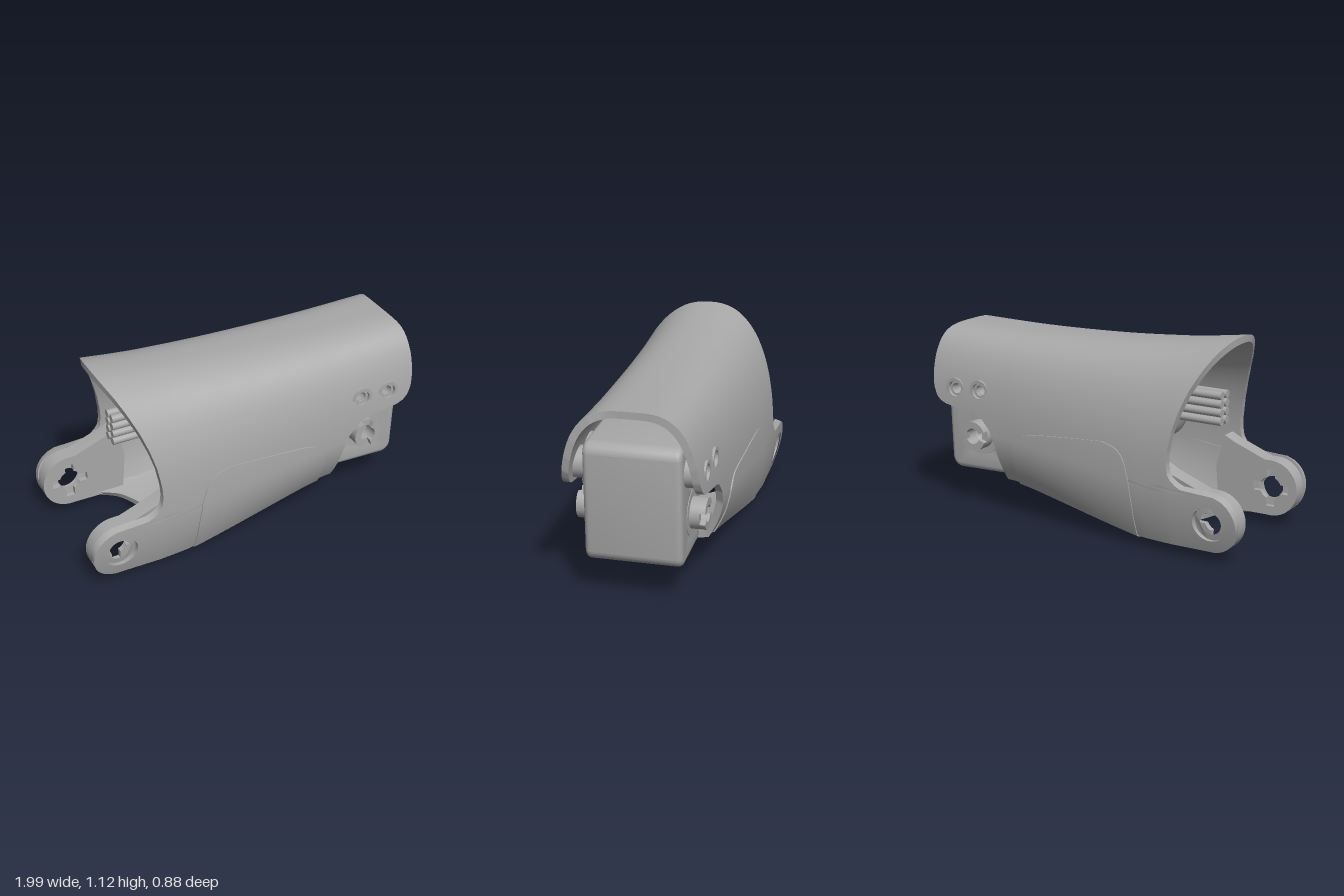
import * as THREE from 'three';
import { toCreasedNormals } from 'three/addons/utils/BufferGeometryUtils.js';

const grey = new THREE.MeshStandardMaterial({ color: 0xa8a8a8 });
grey.name = 'plain grey';

// piecewise linear lookup in a list of [key, value]
function look(table, k) {
  if (k <= table[0][0]) return table[0][1];
  for (let i = 1; i < table.length; i++) {
    const [a, va] = table[i - 1], [b, vb] = table[i];
    if (k <= b) return va + (vb - va) * (k - a) / (b - a);
  }
  return table[table.length - 1][1];
}
const mapKeys = (table, fn) => table.map(([k, v]) => [fn(k), v]);

// smooth curve through [x, y] pairs, as a lookup on x
function smooth(table) {
  const c = new THREE.SplineCurve(table.map(p => new THREE.Vector2(...p)));
  return c.getPoints(80).map(p => [p.x, p.y]);
}
const TOP = smooth([[-0.82, 1.127], [-0.6, 1.097], [-0.4, 1.075], [0, 1.047], [0.5, 1.032], [1, 1.036]]);
const BOTTOM = smooth([[-0.8, 0.005], [-0.5, 0.004], [-0.4, 0.009], [-0.2, 0.042], [0, 0.08], [0.3, 0.137], [0.42, 0.154], [0.5, 0.16], [1, 0.16]]);
const WIDTH = [[-0.6, 0.438], [-0.4, 0.431], [0, 0.41], [0.5, 0.382], [1, 0.365]];

// end outlines of the sleeve, by relative height; the left one includes the round pivot lugs
const LUG = [-0.84, 0.22], LUG_RADIUS = 0.16;
const lugArc = [];
for (let a = -85; a <= 85; a += 5) {
  const r = a * Math.PI / 180;
  lugArc.push([LUG[1] + LUG_RADIUS * Math.sin(r), LUG[0] - LUG_RADIUS * Math.cos(r)]);
}
const LEFT_END = mapKeys([[0.005, -0.42], [0.009, -0.47], [0.015, -0.5], [0.03, -0.56], [0.05, -0.72], ...lugArc,
  [0.382, -0.73], [0.39, -0.69], [0.405, -0.66], [0.435, -0.625], [0.47, -0.605], [0.52, -0.598], [0.58, -0.6],
  [0.7, -0.618], [0.8, -0.645], [0.9, -0.68], [1, -0.727], [1.06, -0.76], [1.125, -0.805]], y => (y - 0.004) / 1.121);
const RIGHT_END = mapKeys([[0.16, 0.505], [0.3, 0.522], [0.42, 0.54], [0.5, 0.573], [0.56, 0.63], [0.585, 0.69], [0.597, 0.8],
  [0.605, 0.87], [0.62, 0.92], [0.65, 0.955], [0.7, 0.978], [0.78, 0.99], [0.88, 0.993], [0.96, 0.989], [1, 0.984], [1.02, 0.976], [1.036, 0.964]],
  y => (y - 0.16) / 0.875);
const PANEL_LEFT = [[0, -0.395], [0.23, -0.385], [0.36, -0.367], [0.44, -0.34], [0.48, -0.31], [0.503, -0.27], [0.515, -0.2]];
const PANEL_RIGHT = [[0, 0.42], [0.25, 0.415], [0.33, 0.4], [0.39, 0.36], [0.42, 0.32], [0.45, 0.2], [0.487, 0], [0.507, -0.13], [0.515, -0.2]];

// half width of the cross-section at x and relative height t: shallow belly, steep flank, round roof
function halfWidth(x, t, grow = 0) {
  const k = THREE.MathUtils.clamp((x + 0.6) / 1.58, 0, 1);
  let f;
  if (t < 0.05) f = Math.pow(0.87 * Math.pow(Math.max(0, t) / 0.05, 0.4), 1 + 1.2 * k);
  else if (t < 0.36) f = Math.pow(1 - 0.13 * Math.pow((0.36 - t) / 0.31, 2), 1 + 1.2 * k);
  else f = Math.pow(Math.max(0, 1 - Math.pow((t - 0.36) / 0.64, 2.35)), 0.42 * (1 - 0.36 * k));
  return (look(WIDTH, x) + grow) * f;
}

// point on the sleeve; points next to the rim of a hole [x, y, radius] move onto it
function sectionPoint(x, t, side, grow, holes) {
  const base = u => look(BOTTOM, u) - grow, height = u => look(TOP, u) + grow - base(u);
  let y = base(x) + t * height(x);
  for (const [hx, hy, r] of holes) {
    const d = Math.hypot(x - hx, y - hy);
    if (Math.abs(d - r) > 0.0105) continue;
    x = hx + (x - hx) * r / d;
    y = hy + (y - hy) * r / d;
    t = (y - base(x)) / height(x);
  }
  return [x, y, side * halfWidth(x, t, grow)];
}

// curved wall with thickness and holes, running from one flank under the bottom to the other
function wall(name, aMax, rows, cols, left, right, outer, inner, holes = []) {
  const pos = [], idx = [], ring = 2 * (cols + 1);
  for (let i = 0; i <= rows; i++) {
    const a = (2 * i / rows - 1) * aMax, t = (1 - Math.cos(Math.PI * Math.abs(a))) / 2;
    const x0 = look(left, t), x1 = look(right, t);
    for (let j = 0; j < ring; j++) {
      const out = j <= cols, v = (out ? j : ring - 1 - j) / cols;
      pos.push(...sectionPoint(x0 + (x1 - x0) * v, t, a < 0 ? -1 : 1, out ? outer : inner, holes));
    }
  }
  const triangle = (...c) => {
    const mid = k => (pos[3 * c[0] + k] + pos[3 * c[1] + k] + pos[3 * c[2] + k]) / 3;
    if (!holes.some(([x, y, r]) => Math.hypot(mid(0) - x, mid(1) - y) < r)) idx.push(...c);
  };
  for (let i = 0; i < rows; i++) for (let j = 0; j < ring; j++) {
    const p = i * ring + j, q = i * ring + (j + 1) % ring;
    triangle(p, q, p + ring);
    triangle(q, q + ring, p + ring);
  }
  const g = new THREE.BufferGeometry();
  g.setAttribute('position', new THREE.Float32BufferAttribute(pos, 3));
  g.setIndex(idx);
  return mesh(name, toCreasedNormals(g, 0.6));
}
function mesh(name, geometry) {
  const m = new THREE.Mesh(geometry, grey);
  m.name = name;
  return m;
}
function circle(x, y, r) {
  return new THREE.Path().absarc(x, y, r, 0, Math.PI * 2, true);
}
function extrude(shape, depth, z, bevel = 0) {
  const g = new THREE.ExtrudeGeometry(shape, { depth: depth - 2 * bevel, curveSegments: 24, bevelEnabled: bevel > 0,
    bevelSize: bevel, bevelThickness: bevel, bevelSegments: 4 });
  g.translate(0, 0, z + bevel);
  return toCreasedNormals(g, 0.6);
}
// ring or ring segment facing z
function ringShape(x, y, r, hole, a0 = 0, a1 = Math.PI * 2) {
  const s = new THREE.Shape();
  s.absarc(x, y, r, a0, a1, false);
  if (a1 - a0 > 6.28) s.holes.push(circle(x, y, hole));
  else s.absarc(x, y, hole, a1, a0, true);
  return s;
}

// inside of a pivot lug: plate with a round hole, cross-shaped horn pocket, counterbore liner
function lugPlate(hole) {
  const s = new THREE.Shape();
  s.moveTo(-0.52, 0.06);
  s.lineTo(-0.7, 0.061);
  s.absarc(...LUG, LUG_RADIUS - 0.002, -Math.PI / 2 + 0.1, -Math.PI * 1.5, true);
  s.lineTo(-0.8, 0.378);
  s.lineTo(-0.61, 0.45);
  s.lineTo(-0.55, 0.48);
  s.lineTo(-0.5, 0.3);
  s.closePath();
  s.holes.push(hole);
  return s;
}
function lug(side) {
  const group = new THREE.Group();
  group.name = side > 0 ? 'leftPivotLug' : 'rightPivotLug';
  const cross = new THREE.Path(), center = new THREE.Vector2(...LUG);
  for (let k = 0; k < 4; k++) {
    const a = k * Math.PI / 2;
    const [p, q] = [-0.025, 0.025].map(v => new THREE.Vector2(0.105, v).rotateAround(new THREE.Vector2(), a).add(center));
    cross[k ? 'lineTo' : 'moveTo'](p.x, p.y);
    cross.lineTo(q.x, q.y);
    cross.absarc(...LUG, 0.064, a + 0.4, a + Math.PI / 2 - 0.4, false);
  }
  cross.closePath();
  const layers = [['hornPocket', 0.305, 0.345, lugPlate(cross)], ['pivotPlate', 0.345, 0.402, lugPlate(circle(...LUG, 0.06))],
    ['pivotRim', 0.395, 0.432, ringShape(...LUG, 0.108, 0.094)]];
  for (const [name, z0, z1, shape] of layers) {
    const g = extrude(shape, z1 - z0, z0), p = g.attributes.position;
    // depth shrinks where the flank curves in
    for (let i = 0; i < p.count; i++) {
      const flank = halfWidth(-0.6, (p.getY(i) - 0.004) / 1.121);
      p.setZ(i, 0.305 + (p.getZ(i) - 0.305) * (flank - 0.305) / 0.133);
    }
    g.computeVertexNormals();
    group.add(mesh(name, toCreasedNormals(g, 0.6)));
  }
  group.scale.z = side;
  return group;
}

export function createModel() {
  const model = new THREE.Group();
  model.name = 'limbSegment';
  const screws = [[0.655, 0.71], [0.825, 0.703]];

  // sleeve with screw and pivot openings, and the cover panel wrapped under it
  const holes = [[...LUG, 0.095], ...screws.map(s => [...s, 0.046])];
  model.add(wall('sleeve', 1, 220, 80, LEFT_END, RIGHT_END, 0, -0.038, holes));
  model.add(wall('coverPanel', Math.acos(1 - 2 * 0.515) / Math.PI, 110, 40, PANEL_LEFT, PANEL_RIGHT, 0.006, -0.01));

  // motor block with bores running through it
  const motor = new THREE.Group();
  motor.name = 'motor';
  motor.position.set(0.745, 0.533, 0);
  motor.rotation.z = -0.035;
  const hub = [-0.02, -0.1], bolts = screws.map(([x, y]) => [x - 0.751, y - 0.533]);
  const w = 0.18, h = 0.295, r = 0.035;
  const body = new THREE.Shape();
  body.absarc(w - r, h - r, r, 0, Math.PI / 2);
  body.absarc(r - w, h - r, r, Math.PI / 2, Math.PI);
  body.absarc(r - w, r - h, r, Math.PI, Math.PI * 1.5);
  body.absarc(w - r, r - h, r, Math.PI * 1.5, Math.PI * 2);
  body.holes.push(circle(...hub, 0.075), ...bolts.map(b => circle(...b, 0.058)));
  motor.add(mesh('motorBody', extrude(body, 0.51, -0.255, 0.03)));
  for (const side of [-1, 1]) {
    const at = (z, d) => side > 0 ? z : -z - d;
    motor.add(mesh('hubFlange', extrude(ringShape(...hub, 0.125, 0.046), 0.008, at(0.25, 0.008))));
    motor.add(mesh('hubTube', extrude(ringShape(...hub, 0.084, 0.045), 0.06, at(0.25, 0.06))));
    for (const k of [0, 1]) {
      const a = (side > 0 ? -Math.PI / 2 : 0) + k * Math.PI;
      motor.add(mesh('hubClaw', extrude(ringShape(...hub, 0.084, 0.045, a + 0.38, a + Math.PI - 0.38), 0.032, at(0.308, 0.032))));
    }
    for (const b of bolts) motor.add(mesh('screwBoss', extrude(ringShape(...b, 0.084, 0.03), 0.1, at(0.23, 0.1))));
  }
  model.add(motor);

  // screw seats set in the sleeve
  for (const side of [-1, 1]) for (const [x, y] of screws) {
    const z = halfWidth(x, (y - 0.16) / 0.875);
    const at = (z0, d) => side > 0 ? z0 : -z0 - d;
    model.add(mesh('screwCollar', extrude(ringShape(x, y, 0.062, 0.044), 0.039, at(z - 0.037, 0.039))));
    model.add(mesh('screwSeat', extrude(ringShape(x, y, 0.05, 0.03), 0.02, at(z - 0.036, 0.02))));
  }
  model.add(lug(1), lug(-1));

  // guide ribs under the roof
  for (const side of [-1, 1]) {
    const rib = mesh('roofRib', new THREE.BoxGeometry(0.4, 0.024, 0.09));
    rib.position.set(0.7, 0.986, side * 0.085);
    model.add(rib);
  }

  // domed cable gland and wire bundle inside the sleeve
  const profile = [[0, 0], [0.213, 0], [0.213, 0.38], [0.2, 0.44], [0.165, 0.49], [0.11, 0.52], [0, 0.53]];
  const gland = mesh('cableGland', toCreasedNormals(
    new THREE.LatheGeometry(profile.map(p => new THREE.Vector2(...p)), 48).rotateZ(Math.PI / 2), 0.6));
  gland.position.set(0.08, 0.709, 0);
  model.add(gland);
  for (let i = 0; i < 4; i++) for (const z of [-0.03, 0.03]) {
    const wire = mesh('wire', new THREE.CylinderGeometry(0.022, 0.022, 0.36, 16).rotateZ(Math.PI / 2));
    wire.position.set(-0.525, 0.655 + i * 0.047, z);
    model.add(wire);
  }
  return model;
}
